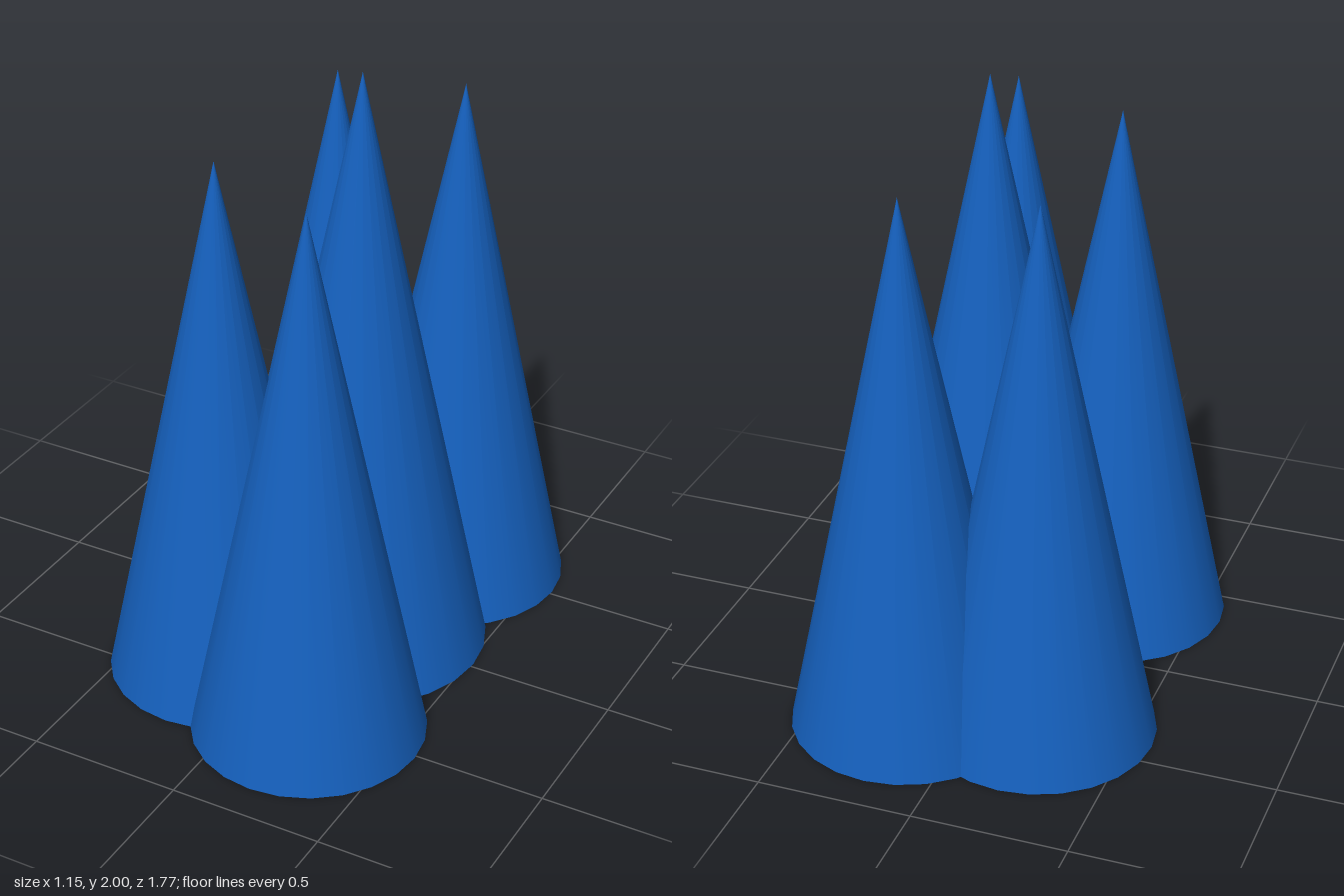
import * as THREE from 'three';

export function createModel() {
  const group = new THREE.Group();
  group.name = 'coneCluster';
  const material = new THREE.MeshStandardMaterial({ color: 0x1560bd });

  // Closed cone standing on the ground
  const addCone = (name, x, z, radius, height) => {
    const geometry = new THREE.ConeGeometry(radius, height, 24);
    geometry.translate(0, height / 2, 0);
    const cone = new THREE.Mesh(geometry, material);
    cone.name = name;
    cone.position.set(x, 0, z);
    group.add(cone);
  };

  // Tall middle cone with four shorter ones around it
  addCone('centreCone', 0.1, -0.013, 0.419, 2);
  const side = [0.373, 1.79];
  addCone('frontLeftCone', 0.2, 0.512, ...side);
  addCone('backLeftCone', 0.2, -0.512, ...side);
  addCone('frontRightCone', -0.203, 0.345, ...side);
  addCone('backRightCone', -0.203, -0.418, ...side);

  return group;
}
